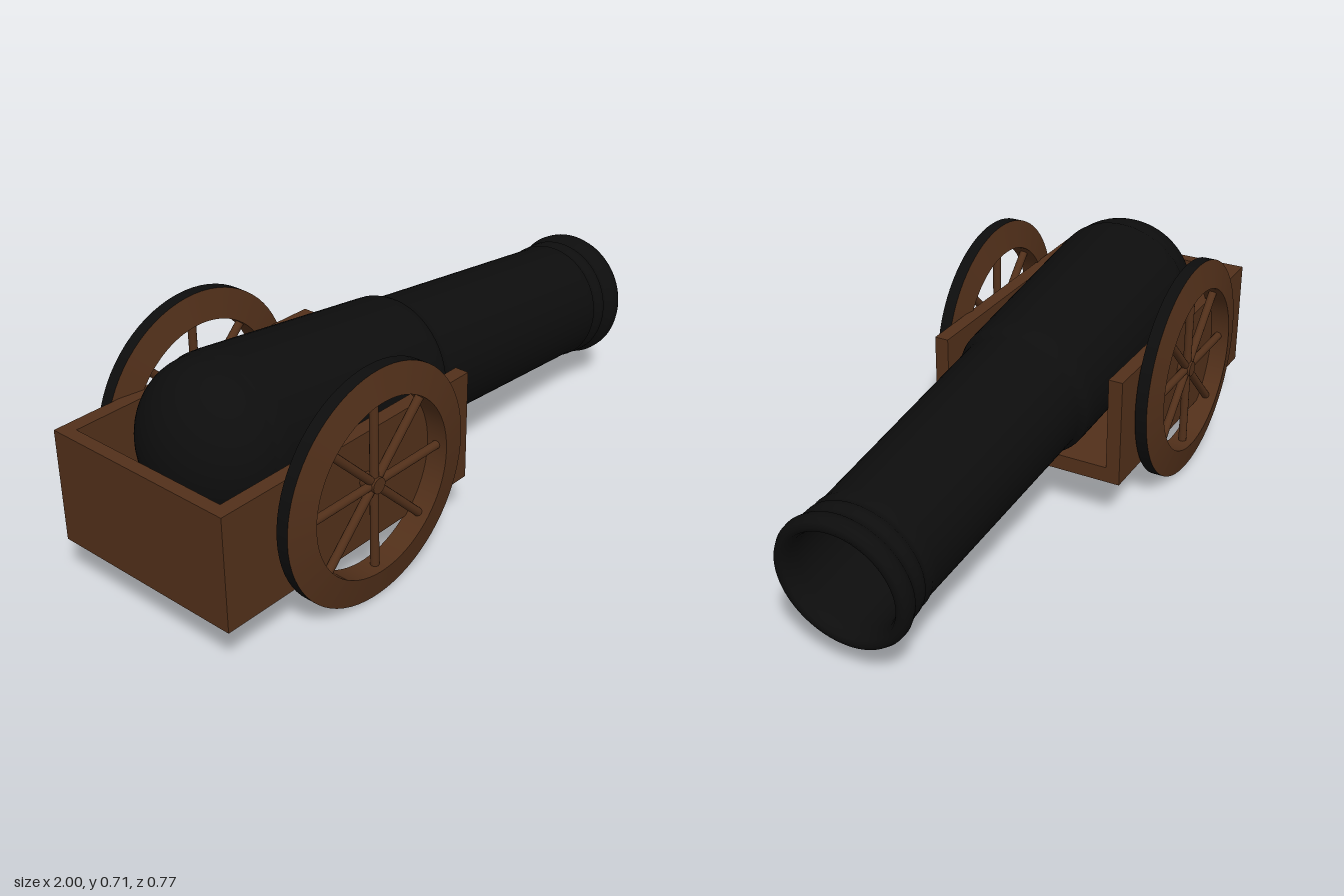
import * as THREE from 'three';

const wood = new THREE.MeshStandardMaterial({ color: 0x52301a });
const iron = new THREE.MeshStandardMaterial({ color: 0x0d0d0d });

function add(parent, name, geometry, material, x = 0, y = 0, z = 0) {
  const mesh = new THREE.Mesh(geometry, material);
  mesh.name = name;
  mesh.position.set(x, y, z);
  parent.add(mesh);
  return mesh;
}

const lathe = (points, segments = 64) =>
  new THREE.LatheGeometry(points.map(([r, t]) => new THREE.Vector2(r, t)), segments);

// Open-fronted wooden tray
function createCarriage() {
  const g = new THREE.Group();
  g.name = 'carriage';
  const z0 = -0.004;
  add(g, 'floor', new THREE.BoxGeometry(0.97, 0.05, 0.64), wood, -0.515, 0.175, z0);
  add(g, 'backWall', new THREE.BoxGeometry(0.04, 0.3, 0.64), wood, -0.98, 0.35, z0);
  for (const s of [1, -1])
    add(g, s > 0 ? 'leftWall' : 'rightWall', new THREE.BoxGeometry(0.93, 0.3, 0.045), wood, -0.495, 0.35, z0 + s * 0.2975);
  return g;
}

// Barrel turned around its axis, with the bore as the returning inner profile
function createBarrel() {
  const profile = [];
  for (let i = 0; i <= 20; i++) {
    const a = (i / 20) * Math.PI / 2;
    profile.push([0.237 * Math.sin(a), -0.035 - 0.202 * Math.cos(a)]);
  }
  profile.push(
    [0.242, -0.025], [0.243, 0.01], [0.226, 0.64], [0.225, 0.663], [0.22, 0.678], [0.209, 0.69], [0.208, 0.71],
    [0.19, 1.49], [0.194, 1.515], [0.185, 1.528], [0.185, 1.54], [0.196, 1.553], [0.197, 1.57],
    [0.188, 1.583], [0.188, 1.596], [0.203, 1.612], [0.208, 1.628], [0.207, 1.645], [0.2, 1.659],
    [0.187, 1.665], [0.173, 1.659], [0.164, 1.64], [0.16, 1.61],
    [0.16, 0.62], [0.16, 0.6], [0.158, 0.6], [0, 0.6]
  );
  const barrel = new THREE.Group();
  barrel.name = 'barrel';
  add(barrel, 'barrelBody', lathe(profile, 72).rotateZ(-Math.PI / 2), iron);
  barrel.position.set(-0.68, 0.465, -0.003);
  barrel.rotation.z = -0.1;
  return barrel;
}

// Wheel: bevelled wooden rim, iron tread, hub and eight spokes
function createWheel(name, side) {
  const g = new THREE.Group();
  g.name = name;
  const R = 0.354, r = 0.265, hw = 0.019, hr = 0.037;
  const ring = (label, a, b, mat) => add(g, label, lathe([a, b], 72).rotateX(Math.PI / 2), mat);
  ring('tread', [R, -hw], [R, hw], iron);
  ring('rimFace', [R, hw], [r, hr], wood);
  ring('rimInside', [r, hr], [r, -hr], wood);
  ring('rimFace', [r, -hr], [R, -hw], wood);
  add(g, 'hub', new THREE.CylinderGeometry(0.024, 0.024, 0.05, 24).rotateX(Math.PI / 2), wood, 0, 0, -side * 0.006);
  for (let i = 0; i < 4; i++) {
    const spoke = add(g, 'spokePair', new THREE.CylinderGeometry(0.013, 0.013, 2 * r, 12), wood);
    spoke.rotation.z = (i * Math.PI) / 4;
  }
  g.position.set(-0.475, 0.355, side * 0.347);
  return g;
}

export function createModel() {
  const model = new THREE.Group();
  model.name = 'cannon';
  model.add(createCarriage(), createBarrel(), createWheel('leftWheel', 1), createWheel('rightWheel', -1));
  return model;
}
